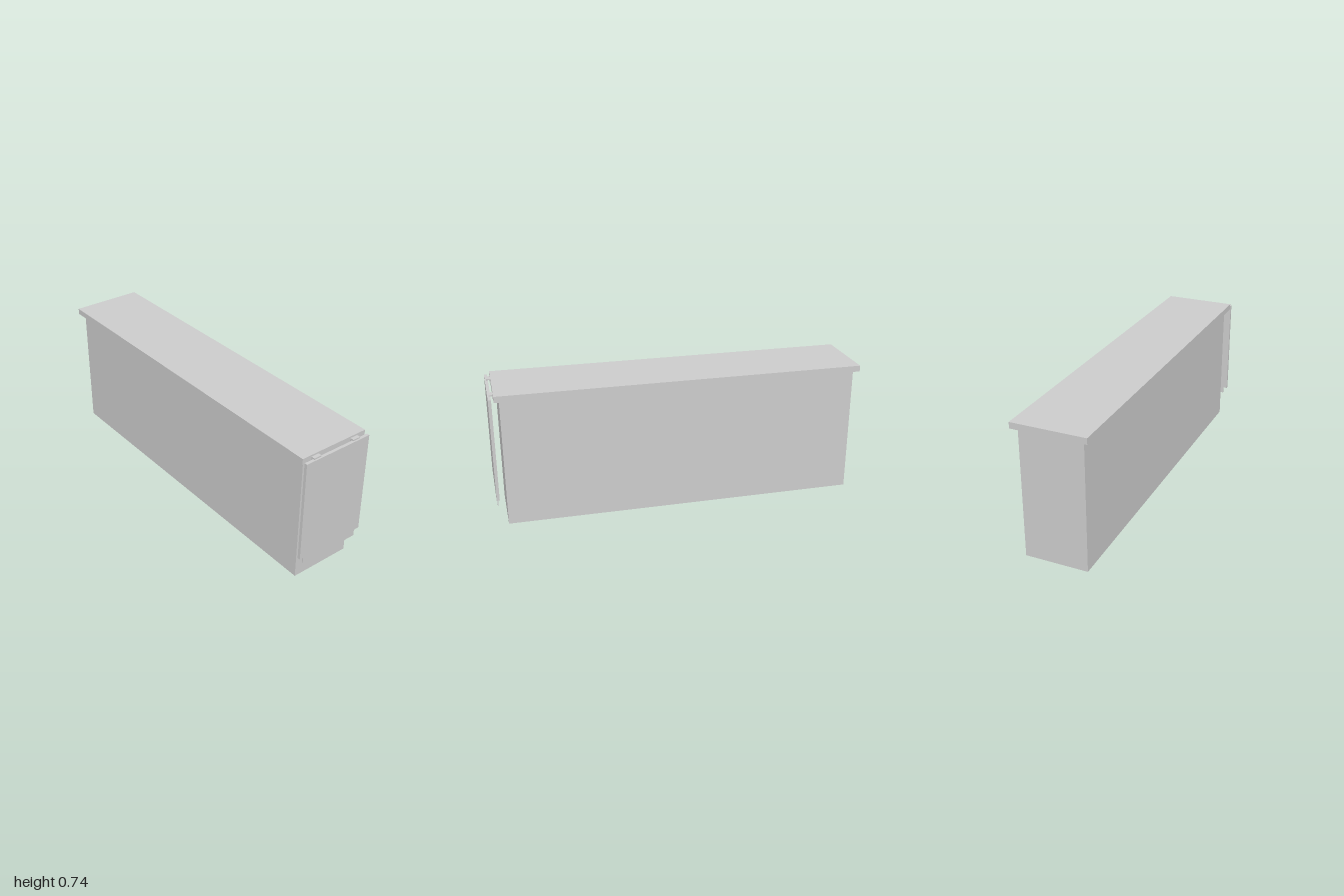
import * as THREE from 'three';

export function createModel() {
  const group = new THREE.Group();
  const material = new THREE.MeshStandardMaterial({ color: 0xcccccc, flatShading: true });

  // Box given by its lower and upper limits on each axis
  function box(name, [x0, x1], [y0, y1], [z0, z1]) {
    const mesh = new THREE.Mesh(new THREE.BoxGeometry(x1 - x0, y1 - y0, z1 - z0), material);
    mesh.position.set((x0 + x1) / 2, (y0 + y1) / 2, (z0 + z1) / 2);
    mesh.name = name;
    group.add(mesh);
  }

  // Long cabinet body and overhanging worktop
  box('body', [-0.171, 0.168], [0, 0.703], [-0.975, 0.946]);
  box('worktop', [-0.2, 0.198], [0.703, 0.736], [-1, 0.972]);

  // Hanging front flap with a thin skirt below it
  box('frontFlap', [-0.199, 0.2], [0.16, 0.72], [0.984, 1]);
  box('flapSkirt', [-0.174, 0.174], [0.12, 0.17], [0.991, 0.996]);

  // Pair of hinges: a leaf over the flap and a plate against the worktop edge
  for (const side of [-1, 1]) {
    const x = [side * 0.124 - 0.022, side * 0.124 + 0.022];
    box('hingeLeaf', x, [0.72, 0.727], [0.972, 0.992]);
    box('hingePlate', x, [0.706, 0.72], [0.972, 0.976]);
  }
  return group;
}
